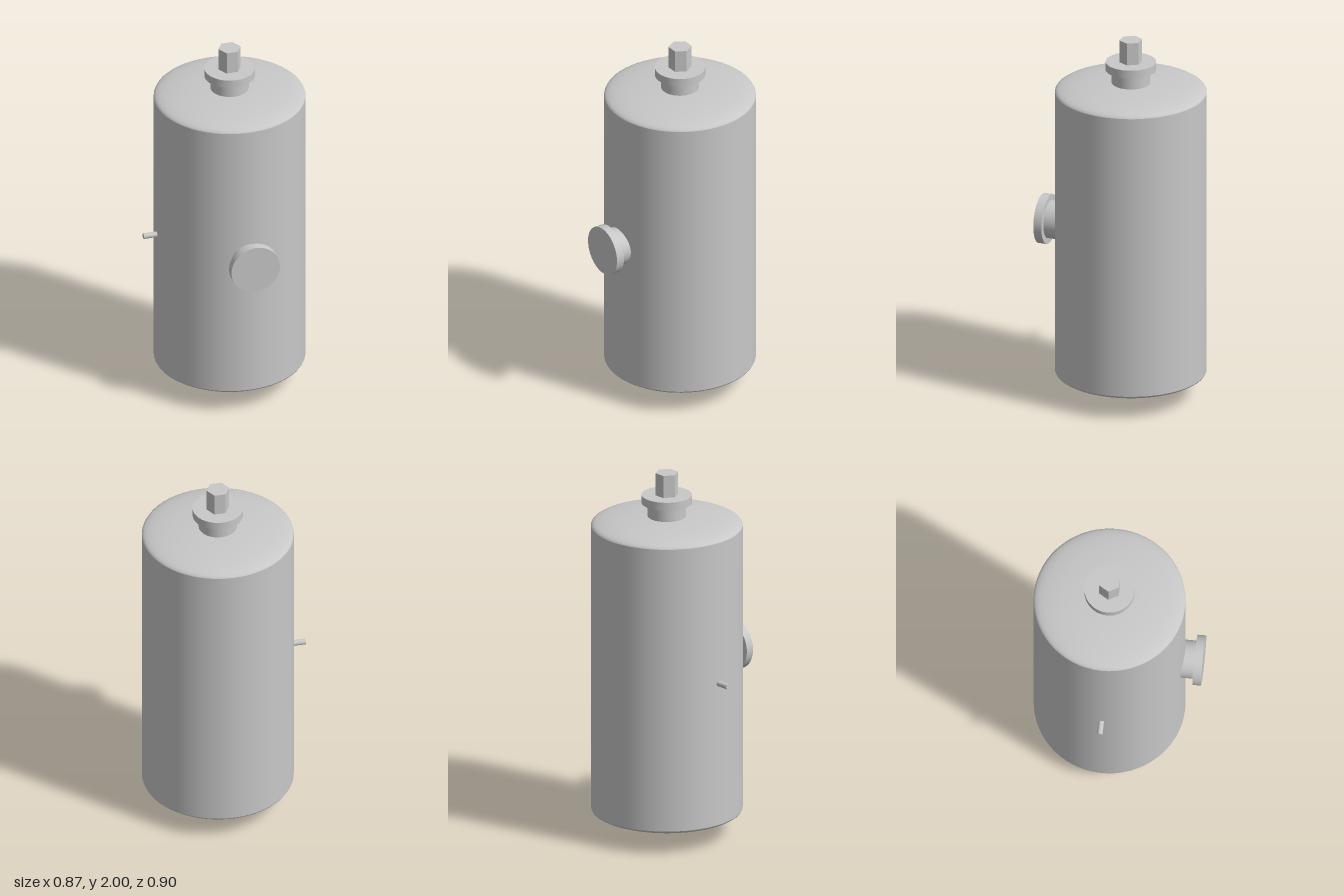
import * as THREE from 'three';
import { toCreasedNormals } from 'three/addons/utils/BufferGeometryUtils.js';

export function createModel() {
  const model = new THREE.Group();
  model.name = 'pressureTank';
  const steel = new THREE.MeshStandardMaterial({ color: 0xc8c8c8 });
  steel.name = 'greySteel';

  // Everything is laid out around the tank axis
  const tank = new THREE.Group();
  tank.name = 'tank';
  tank.position.set(0.033, 0, -0.048);
  model.add(tank);

  const R = 0.4, BOTTOM = 0.135, TOP = 1.708, DOME = 0.052, PORT_Y = 0.924;

  function add(name, geometry, parent = tank) {
    const mesh = new THREE.Mesh(geometry, steel);
    mesh.name = name;
    parent.add(mesh);
    return mesh;
  }

  // Upright cylinder spanning y0 to y1
  function rod(name, r, y0, y1, parent = tank, sides = 64) {
    const mesh = add(name, new THREE.CylinderGeometry(r, r, y1 - y0, sides), parent);
    mesh.position.y = (y0 + y1) / 2;
    return mesh;
  }

  // Shell
  const shell = add('shell', new THREE.CylinderGeometry(R, R, TOP - BOTTOM, 64, 1, true));
  shell.position.y = (TOP + BOTTOM) / 2;

  // Shallow elliptical end caps
  function dome(name, y, flip) {
    const profile = [];
    for (let i = 0; i <= 12; i++) {
      const a = (i / 12) * Math.PI / 2;
      profile.push(new THREE.Vector2(i === 12 ? 0 : R * Math.cos(a), DOME * Math.sin(a)));
    }
    const mesh = add(name, new THREE.LatheGeometry(profile, 64));
    mesh.position.y = y;
    if (flip) mesh.rotation.x = Math.PI;
  }
  dome('topDome', TOP, false);
  dome('bottomDome', BOTTOM, true);

  // Flanged nozzles: a neck and a wider disc, built upright
  function nozzle(name, start, flange, end) {
    const group = new THREE.Group();
    group.name = name;
    rod(name + 'Neck', 0.101, start, flange, group);
    rod(name + 'Flange', 0.133, flange, end, group);
    tank.add(group);
    return group;
  }
  nozzle('topNozzle', 1.73, 1.832, 1.877);
  const front = nozzle('frontNozzle', 0.36, 0.453, 0.498);
  front.rotation.x = Math.PI / 2;
  front.position.y = PORT_Y;

  // Hexagonal fitting on the top flange, corners on the x axis
  const hex = new THREE.CylinderGeometry(0.061, 0.061, 0.123, 6, 1, false, Math.PI / 2);
  add('hexFitting', toCreasedNormals(hex, 0.5)).position.y = 1.9385;

  // Small drain and side pipes
  rod('drainPipe', 0.015, 0, 0.1, tank, 24);
  const side = rod('sidePipe', 0.015, 0, 0.093, tank, 24);
  side.rotation.z = Math.PI / 2;
  side.position.set(-0.4265, PORT_Y, 0);

  return model;
}
